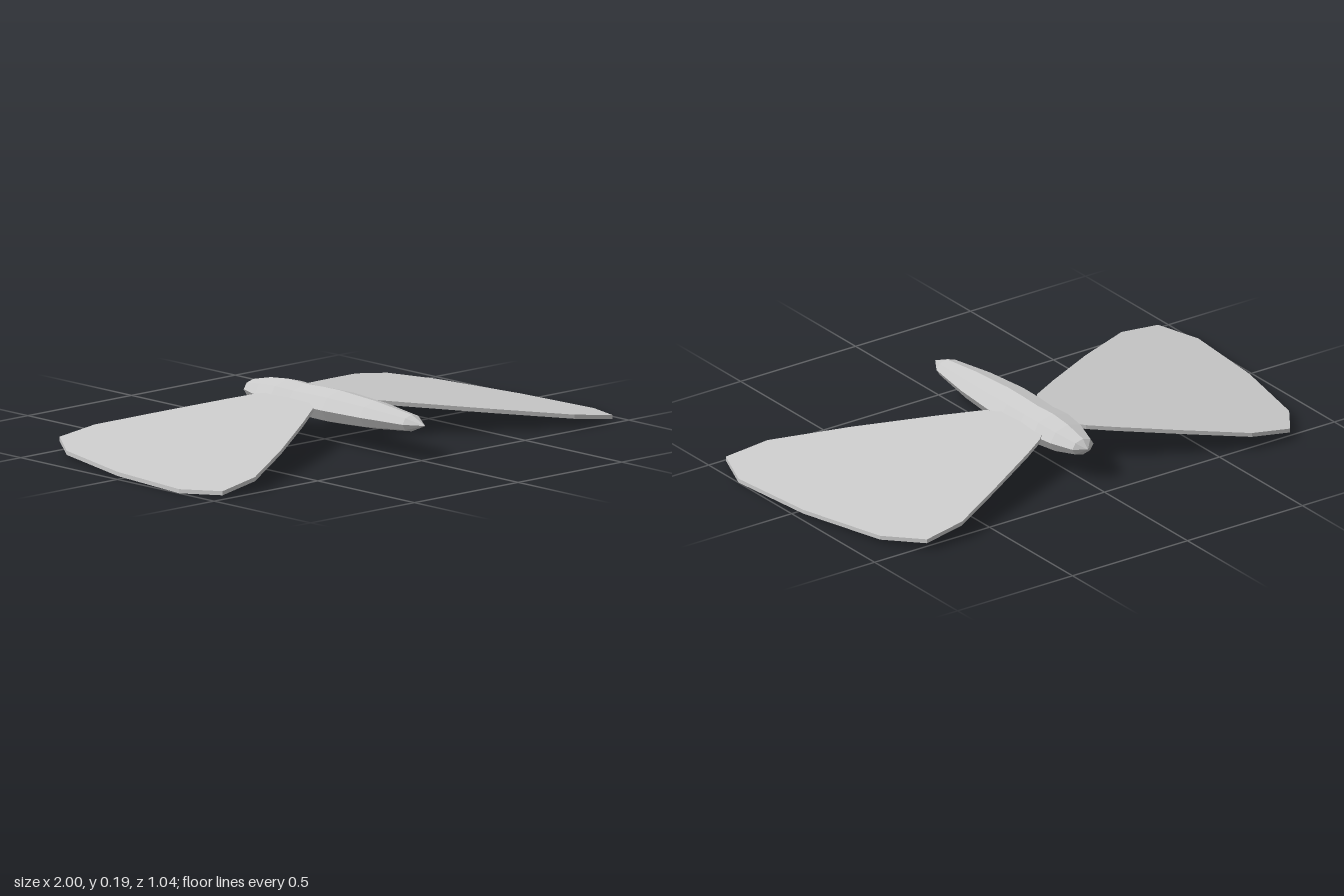
import * as THREE from 'three';

const THICKNESS = 0.015;

// Wing outline as [x, z], from the rear root round the tip to the front root
const WING = [
  [0.07, -0.22], [0.1, -0.25], [0.19, -0.3], [0.41, -0.41], [0.63, -0.515], [0.79, -0.525],
  [0.89, -0.38], [0.97, -0.03], [1, 0.32], [0.94, 0.48], [0.77, 0.465], [0.51, 0.32],
  [0.25, 0.155], [0.11, 0.06], [0.09, 0.02], [0.07, 0],
];

// Body profile as [radius, z], tail to head
const BODY = [
  [0, -0.4], [0.046, -0.37], [0.077, -0.28], [0.09, -0.19], [0.084, -0.1],
  [0.089, 0], [0.09, 0.08], [0.075, 0.26], [0.045, 0.45], [0, 0.52],
];

function createWing(side, material) {
  const shape = new THREE.Shape(WING.map(([x, z]) => new THREE.Vector2(side * x, z)));
  const geometry = new THREE.ExtrudeGeometry(shape, { depth: THICKNESS, bevelEnabled: false });
  geometry.rotateX(Math.PI / 2);
  // Droop evenly towards the wing tip
  const p = geometry.attributes.position;
  for (let i = 0; i < p.count; i++) {
    const drop = 0.14 * (Math.abs(p.getX(i)) - 0.1);
    p.setY(i, p.getY(i) + 0.142 - drop + 0.004 * p.getZ(i));
  }
  geometry.computeVertexNormals();
  const wing = new THREE.Mesh(geometry, material);
  wing.name = side > 0 ? 'leftWing' : 'rightWing';
  return wing;
}

export function createModel() {
  const model = new THREE.Group();
  model.name = 'butterfly';
  const material = new THREE.MeshStandardMaterial({ color: 0xcccccc, flatShading: true });

  // Eight-sided spindle body, slightly flattened
  const bodyGeometry = new THREE.LatheGeometry(BODY.map(([r, z]) => new THREE.Vector2(r, z)), 8);
  bodyGeometry.rotateX(Math.PI / 2);
  bodyGeometry.scale(1, 0.667, 1);
  const body = new THREE.Mesh(bodyGeometry, material);
  body.name = 'body';
  body.position.y = 0.13;
  model.add(body);

  // Mirrored wings
  for (const side of [1, -1]) model.add(createWing(side, material));

  return model;
}
